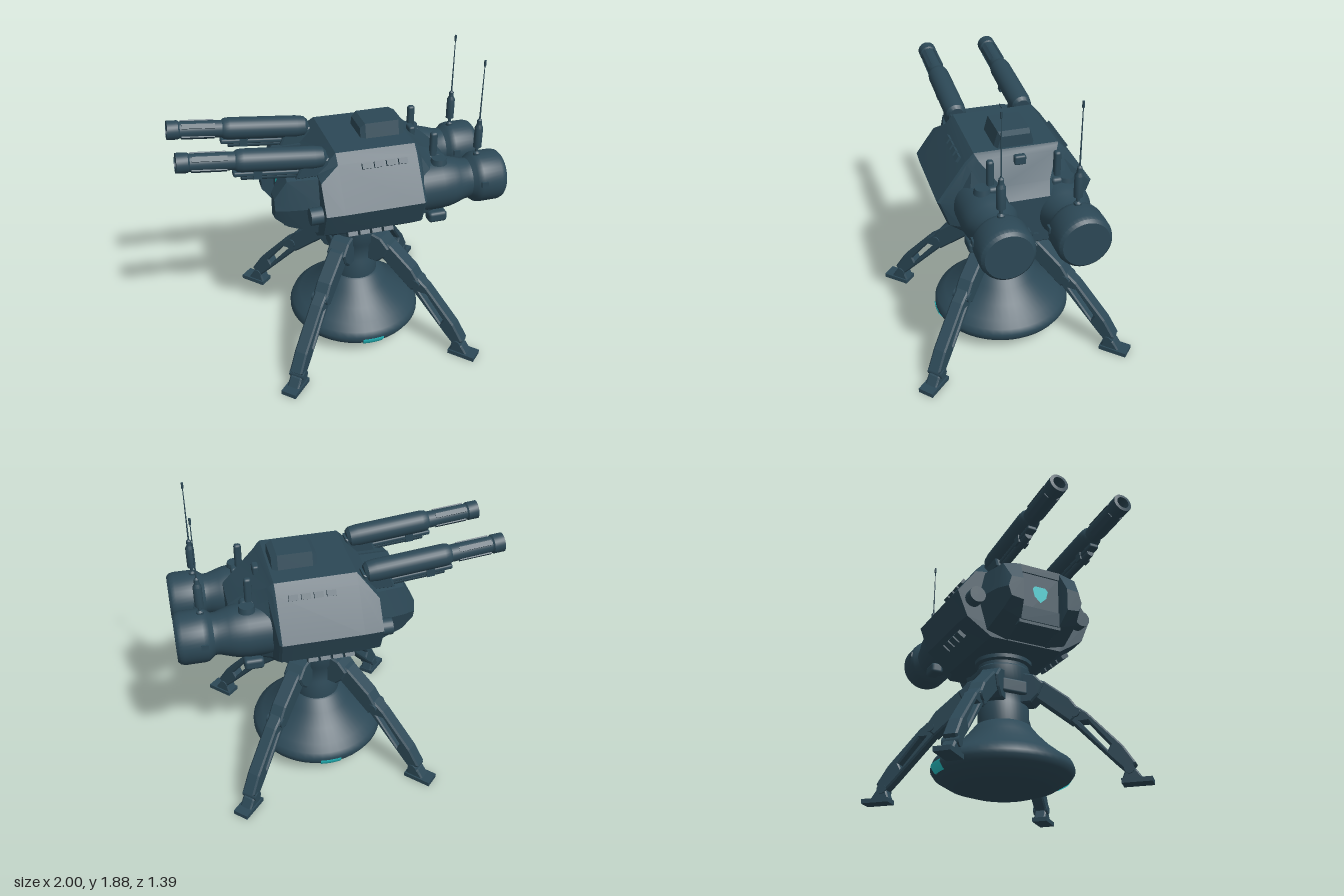
import * as THREE from 'three';
import { toCreasedNormals } from 'three/addons/utils/BufferGeometryUtils.js';
import { RoundedBoxGeometry } from 'three/addons/geometries/RoundedBoxGeometry.js';

const steel = new THREE.MeshStandardMaterial({ color: 0x2c4856 });
steel.name = 'blueSteel';
const glow = new THREE.MeshStandardMaterial({ color: 0x26c4c8, side: THREE.DoubleSide });
glow.name = 'tealGlow';

const SIDES = [1, -1];

function add(parent, name, geometry, x = 0, y = 0, z = 0, material = steel) {
  const mesh = new THREE.Mesh(geometry, material);
  mesh.name = name;
  mesh.position.set(x, y, z);
  parent.add(mesh);
  return mesh;
}

function group(parent, name, x = 0, y = 0, z = 0) {
  const g = new THREE.Group();
  g.name = name;
  g.position.set(x, y, z);
  parent.add(g);
  return g;
}

const box = (w, h, d) => new THREE.BoxGeometry(w, h, d);
const rounded = (w, h, d, r) => new RoundedBoxGeometry(w, h, d, 2, r);
const tube = (r1, r2, h, n = 20) => new THREE.CylinderGeometry(r1, r2, h, n);

// Turned part; profile pairs are [radius, height]
function turned(profile, segments = 40, crease = 0.55) {
  const pts = profile.map(([r, h]) => new THREE.Vector2(r, h));
  return toCreasedNormals(new THREE.LatheGeometry(pts, segments), crease);
}

// Side outline in x,y pulled to a width centred on z = 0
function plate(outline, width, hole) {
  const shape = new THREE.Shape(outline.map(p => new THREE.Vector2(...p)));
  if (hole) shape.holes.push(new THREE.Path(hole.map(p => new THREE.Vector2(...p))));
  const b = 0.01;
  const geo = new THREE.ExtrudeGeometry(shape, {
    depth: width - 2 * b, bevelThickness: b, bevelSize: b, bevelOffset: -b, bevelSegments: 1,
  });
  return geo.translate(0, 0, b - width / 2);
}

// Faceted skin through rings of [z, y] at rising x, closed at both ends
function loft(sections) {
  const pos = [];
  const tri = (...pts) => pts.forEach(p => pos.push(...p));
  const rings = sections.map(([x, ring]) => ring.map(([z, y]) => [x, y, z]));
  const n = rings[0].length;
  for (let s = 0; s < rings.length - 1; s++) {
    const a = rings[s], b = rings[s + 1];
    for (let i = 0; i < n; i++) {
      const j = (i + 1) % n;
      tri(a[i], b[i], a[j]);
      tri(b[i], b[j], a[j]);
    }
  }
  const first = rings[0], last = rings[rings.length - 1];
  for (let k = 1; k < n - 1; k++) {
    tri(first[0], first[k], first[k + 1]);
    tri(last[0], last[k + 1], last[k]);
  }
  const geo = new THREE.BufferGeometry();
  geo.setAttribute('position', new THREE.Float32BufferAttribute(pos, 3));
  return toCreasedNormals(geo, 0.3);
}

const mirrorRing = half => [...half, ...[...half].reverse().map(([z, y]) => [-z, y])];
const sideRing = (ring, s) => s > 0 ? ring : [...ring].reverse().map(([z, y]) => [-z, y]);

function buildBase(model) {
  const base = group(model, 'base', 0.12);
  base.scale.z = 1.03;
  add(base, 'saucer', turned([[0, 0], [0.22, 0.008], [0.33, 0.045], [0.41, 0.095], [0.43, 0.125], [0.43, 0.15], [0.415, 0.185],
    [0.365, 0.22], [0.29, 0.282], [0.22, 0.355], [0.17, 0.42], [0.14, 0.435], [0, 0.435]], 48, 0.9));
  const column = turned([[0, 0.42], [0.15, 0.42], [0.15, 0.54], [0.142, 0.56], [0.142, 0.66], [0.158, 0.69],
    [0.158, 0.79], [0.15, 0.8], [0.15, 0.82], [0.17, 0.83], [0.17, 0.88], [0, 0.88]]);
  add(base, 'column', column).scale.z = 1.06;
  for (const s of SIDES) {
    add(base, 'columnPanel', rounded(0.04, 0.09, 0.17, 0.015), s * 0.15, 0.645, 0);
    const pts = [[0.404, 0.084], [0.416, 0.093], [0.436, 0.124], [0.436, 0.142]].map(p => new THREE.Vector2(...p));
    const start = (s > 0 ? 0 : Math.PI) - 0.16;
    add(base, 'baseLight', new THREE.LatheGeometry(pts, 6, start, 0.32), 0, 0, 0, glow);
  }
}

function buildLeg(model, sx, sz) {
  const leg = group(model, 'leg', 0.125);
  leg.rotation.y = -Math.atan2(sz * 0.625, sx * 0.595);
  add(leg, 'legBracket', plate([[0.12, 0.55], [0.2, 0.55], [0.25, 0.6], [0.28, 0.67], [0.22, 0.735], [0.12, 0.76]], 0.13));
  add(leg, 'upperLeg', plate([[0.2, 0.6], [0.44, 0.4], [0.51, 0.46], [0.44, 0.56], [0.28, 0.69], [0.2, 0.71]], 0.1));
  add(leg, 'lowerLeg', plate([[0.42, 0.43], [0.7, 0.13], [0.77, 0.06], [0.82, 0.12], [0.75, 0.23], [0.545, 0.455], [0.46, 0.52]],
    0.085, [[0.5, 0.4], [0.545, 0.4], [0.675, 0.24], [0.66, 0.21]]));
  add(leg, 'kneePin', tube(0.03, 0.03, 0.115).rotateX(Math.PI / 2), 0.47, 0.46, 0);
  add(leg, 'anklePin', tube(0.03, 0.03, 0.1).rotateX(Math.PI / 2), 0.78, 0.085, 0);
  add(leg, 'ankle', plate([[0.73, 0.02], [0.86, 0.02], [0.82, 0.08], [0.76, 0.1]], 0.08));
  add(leg, 'foot', box(0.18, 0.028, 0.1), 0.82, 0.014, 0);
}

function buildHull(model) {
  const mid = y => mirrorRing([[0.25, 0.855], [0.41, 0.97], [0.47, 1.13], [0.3, 1.37], [0.25, y]]);
  add(model, 'hull', loft([
    [-0.195, mirrorRing([[0.24, 0.865], [0.4, 0.97], [0.465, 1.13], [0.35, 1.29], [0.26, 1.305]])],
    [-0.08, mid(1.425)],
    [0.41, mid(1.42)],
    [0.425, mirrorRing([[0.24, 0.862], [0.4, 0.972], [0.455, 1.13], [0.295, 1.36], [0.245, 1.41]])],
    [0.45, mirrorRing([[0.22, 0.867], [0.34, 0.965], [0.38, 1.12], [0.275, 1.33], [0.23, 1.385]])],
    [0.6, mirrorRing([[0.17, 0.885], [0.27, 0.96], [0.33, 1.1], [0.2, 1.22], [0.14, 1.29]])],
    [0.67, mirrorRing([[0.13, 0.94], [0.15, 0.98], [0.16, 1.1], [0.14, 1.2], [0.12, 1.23]])],
  ]));
  // Roof hatch and small roof block
  add(model, 'hatch', loft([
    [0.12, mirrorRing([[0.11, 1.4], [0.085, 1.48]])],
    [0.15, mirrorRing([[0.125, 1.4], [0.095, 1.508]])],
    [0.36, mirrorRing([[0.125, 1.4], [0.095, 1.508]])],
    [0.395, mirrorRing([[0.11, 1.4], [0.085, 1.49]])],
  ]));
  add(model, 'roofBlock', rounded(0.04, 0.06, 0.07, 0.012), 0.48, 1.38, 0);
  // Belly plate behind the turret ring
  add(model, 'bellyPlate', plate([[0.26, 0.87], [0.29, 0.815], [0.42, 0.803], [0.47, 0.82], [0.49, 0.88]], 0.2));
  // Recessed face between the two cheeks
  add(model, 'faceWall', box(0.19, 0.36, 0.28), -0.28, 1.09, 0);
  add(model, 'brow', box(0.2, 0.05, 0.28), -0.285, 1.275, 0);
  add(model, 'chin', plate([[-0.38, 0.93], [-0.2, 0.87], [-0.2, 1.03], [-0.385, 1.02]], 0.28));
  const eye = new THREE.Shape([[-0.052, 0.03], [-0.04, -0.02], [0, -0.058], [0.04, -0.02], [0.052, 0.03], [0.035, 0.05], [-0.035, 0.05]]
    .map(p => new THREE.Vector2(...p)));
  add(model, 'eyeLens', new THREE.ShapeGeometry(eye).rotateY(-Math.PI / 2), -0.382, 1.12, 0, glow);

  for (const s of SIDES) {
    add(model, 'cheek', loft([
      [-0.45, sideRing([[0.15, 1.02], [0.23, 1.03], [0.25, 1.09], [0.23, 1.16], [0.15, 1.165]], s)],
      [-0.375, sideRing([[0.13, 0.93], [0.25, 0.97], [0.285, 1.1], [0.25, 1.28], [0.13, 1.31]], s)],
      [-0.18, sideRing([[0.13, 0.86], [0.27, 0.9], [0.33, 1.11], [0.29, 1.29], [0.13, 1.31]], s)],
    ]));
    add(model, 'sideKnob', tube(0.052, 0.052, 0.09).rotateZ(Math.PI / 2), -0.225, 1.09, s * 0.365);
    // Rows of vents on the upper and lower slopes
    for (let i = 0; i < 4; i++) {
      const upper = add(model, 'upperVent', box(0.055, 0.035, 0.03), 0.088 + i * 0.075, 1.35, s * 0.318);
      upper.rotation.x = -s * 0.62;
      const lower = add(model, 'lowerVent', box(0.06, 0.055, 0.04), -0.01 + i * 0.075, 0.928, s * 0.362);
      lower.rotation.x = s * 0.95;
    }
    add(model, 'tailLamp', tube(0.025, 0.025, 0.05, 16).rotateZ(Math.PI / 2), 0.655, 0.975, s * 0.04);
    add(model, 'tailBracket', rounded(0.12, 0.07, 0.08, 0.02), 0.56, 0.92, s * 0.3);
  }
}

function buildGun(model, s) {
  const gun = group(model, 'gun', -0.135, 1.39, s * 0.212);
  gun.rotation.z = -0.105;
  add(gun, 'barrel', turned([[0, 0], [0.045, 0], [0.062, 0.02], [0.068, 0.07], [0.068, 0.49], [0.064, 0.52], [0.053, 0.535],
    [0.051, 0.79], [0.058, 0.8], [0.058, 0.865], [0.038, 0.868], [0.038, 0.78], [0, 0.78]], 28).rotateZ(Math.PI / 2));
  for (let i = 0; i < 4; i++) {
    const a = Math.PI / 4 + i * Math.PI / 2;
    const rib = add(gun, 'barrelRib', box(0.2, 0.014, 0.03), -0.68, 0.05 * Math.sin(a), 0.05 * Math.cos(a));
    rib.rotation.x = Math.PI / 2 - a;
  }
  // Rail, pod and mount below the barrel
  add(gun, 'gunRail', rounded(0.48, 0.03, 0.06, 0.01), -0.3, -0.08, 0);
  add(gun, 'gunPod', tube(0.024, 0.024, 0.38, 16).rotateZ(Math.PI / 2), -0.3, -0.1, 0);
  add(gun, 'podCollar', box(0.05, 0.06, 0.07), -0.4, -0.08, 0);
  add(model, 'gunMount', plate([[-0.32, 1.29], [-0.12, 1.29], [-0.12, 1.4], [-0.28, 1.39]], 0.1)).position.z = s * 0.212;
}

function buildEngine(model, s) {
  const engine = group(model, 'engine', 0, 1.105, s * 0.216);
  add(engine, 'nacelle', turned([[0, 0.3], [0.165, 0.3], [0.165, 0.58], [0.158, 0.65], [0.147, 0.69], [0.128, 0.75], [0.126, 0.78],
    [0.145, 0.805], [0.156, 0.82], [0.16, 0.84], [0.16, 0.96], [0.152, 0.985], [0.135, 1.0], [0, 1.0]]).rotateZ(-Math.PI / 2));
  for (const t of SIDES) add(engine, 'engineHatch', box(0.043, 0.035, 0.014), 0.84, 0.025, t * 0.157);
  // Disc cap and upright post on the nacelle shoulder
  add(engine, 'discCap', tube(0.045, 0.052, 0.035, 24), 0.575, 0.17, s * 0.03);
  add(engine, 'post', rounded(0.045, 0.18, 0.04, 0.015), 0.555, 0.25, -s * 0.02);
  add(engine, 'postFoot', rounded(0.1, 0.08, 0.07, 0.02), 0.56, 0.15, -s * 0.03);
  // Aerial
  add(engine, 'aerial', turned([[0, 0.14], [0.022, 0.14], [0.022, 0.17], [0.01, 0.18], [0.01, 0.2], [0.026, 0.21], [0.026, 0.34],
    [0.016, 0.36], [0.015, 0.39], [0.005, 0.4], [0.0025, 0.735], [0.007, 0.74], [0.007, 0.775], [0, 0.775]], 14), 0.84, 0, 0);
}

export function createModel() {
  const model = new THREE.Group();
  model.name = 'turret';
  buildBase(model);
  for (const sx of SIDES) for (const sz of SIDES) buildLeg(model, sx, sz);
  buildHull(model);
  for (const s of SIDES) {
    buildGun(model, s);
    buildEngine(model, s);
  }
  return model;
}
